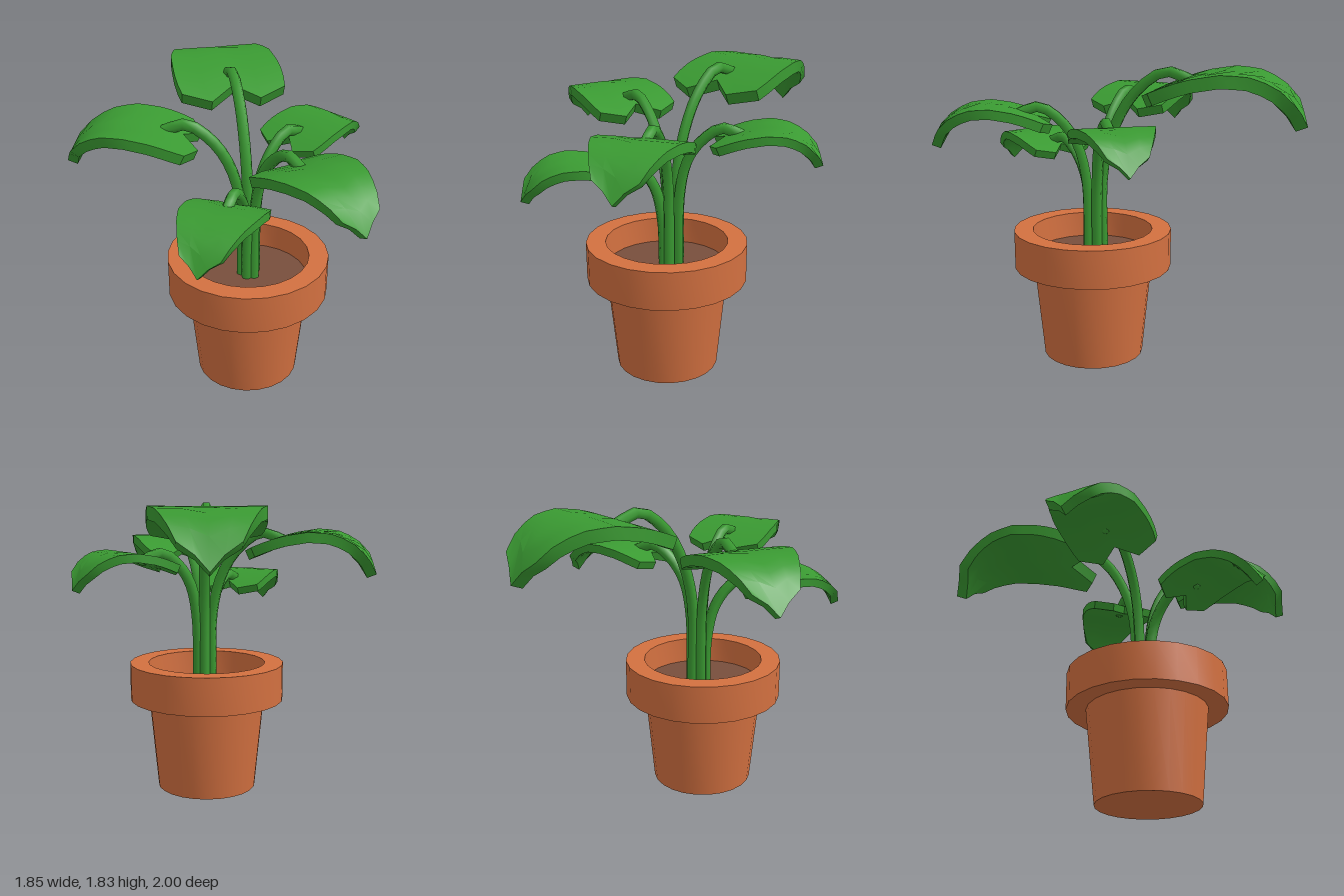
import * as THREE from 'three';
import { toCreasedNormals } from 'three/addons/utils/BufferGeometryUtils.js';

const mat = (name, color) => {
  const m = new THREE.MeshStandardMaterial({ color });
  m.name = name;
  return m;
};

// Piecewise linear lookup in a list of [position, value]
function lookup(table, u) {
  let i = 1;
  while (i < table.length - 1 && u > table[i][0]) i++;
  const [a, va] = table[i - 1], [b, vb] = table[i];
  return va + ((vb - va) * (u - a)) / (b - a);
}

// Leaf of unit length: half width and arch height along its length
const WIDTH = [[0, 0.32], [0.08, 0.34], [0.2, 0.36], [0.36, 0.355], [0.52, 0.34], [0.68, 0.29], [0.82, 0.235], [0.93, 0.175], [1, 0.14]];
const ARCH = [[0, -0.155], [0.12, -0.1], [0.3, -0.035], [0.5, 0], [0.66, -0.008], [0.8, -0.06], [0.9, -0.135], [0.95, -0.205], [1, -0.33]];

function leafGeometry() {
  const starts = [0.08, 0, 0.12, 0, 0.08]; // notched base
  const ends = [0.93, 0.965, 1, 0.965, 0.93]; // pointed tip
  const rows = 10, cols = 4, thick = 0.078, stride = cols + 1;
  const top = [], bottom = [], index = [];
  for (let i = 0; i <= rows; i++) {
    for (let j = 0; j <= cols; j++) {
      const u = THREE.MathUtils.lerp(starts[j], ends[j], i / rows);
      const x = (j / 2 - 1) * lookup(WIDTH, u), y = lookup(ARCH, u);
      const lo = Math.max(0, u - 0.04), hi = Math.min(1, u + 0.04);
      const slope = (lookup(ARCH, hi) - lookup(ARCH, lo)) / (hi - lo);
      const n = thick / Math.hypot(1, slope);
      top.push(x, y, u);
      bottom.push(x, y - n, u + n * slope);
    }
  }
  const count = (rows + 1) * stride;
  const quad = (a, b, c, d) => index.push(a, b, c, a, c, d);
  for (let i = 0; i < rows; i++) {
    for (let j = 0; j < cols; j++) {
      const a = i * stride + j, b = a + stride;
      quad(a, b, b + 1, a + 1);
      quad(a + count, a + 1 + count, b + 1 + count, b + count);
    }
  }
  // Rim wall around the outline
  const loop = [];
  for (let i = 0; i < rows; i++) loop.push(i * stride);
  for (let j = 0; j < cols; j++) loop.push(rows * stride + j);
  for (let i = rows; i > 0; i--) loop.push(i * stride + cols);
  for (let j = cols; j > 0; j--) loop.push(j);
  loop.forEach((p, k) => {
    const q = loop[(k + 1) % loop.length];
    quad(p, p + count, q + count, q);
  });
  const g = new THREE.BufferGeometry();
  g.setAttribute('position', new THREE.Float32BufferAttribute([...top, ...bottom], 3));
  g.setIndex(index);
  return toCreasedNormals(g, 0.6);
}

// Stem that rises from the soil and bends over into its leaf
function stemGeometry(top, k) {
  const peak = top - 0.018;
  const pts = [[0.06, -0.4], [0.1, -0.2], [0.185, -0.075], [0.3, 0], [0.425, -0.04]]
    .map(([s, dy]) => new THREE.Vector3(0, peak + dy * k, s * k));
  pts[0].z = 0.055;
  pts.unshift(new THREE.Vector3(0, 0.64, 0.045));
  return new THREE.TubeGeometry(new THREE.CatmullRomCurve3(pts), 18, 0.034, 6);
}

export function createModel() {
  const model = new THREE.Group();
  const clay = mat('terracotta', 0xd27040);
  const earth = mat('soil', 0x784e3c);
  const green = mat('leafGreen', 0x3a9a32);
  const add = (parent, name, geometry, material) => {
    const m = new THREE.Mesh(geometry, material);
    m.name = name;
    parent.add(m);
    return m;
  };

  // Pot with a thick rim
  const profile = [[0, 0], [0.315, 0], [0.37, 0.58], [0.49, 0.58], [0.49, 0.815], [0.372, 0.815], [0.365, 0.62]]
    .map(([x, y]) => new THREE.Vector2(x, y));
  const pot = add(model, 'pot', toCreasedNormals(new THREE.LatheGeometry(profile, 24), 0.6), clay);
  pot.position.set(0.1, 0, 0.128);

  const soil = add(model, 'soil', new THREE.CylinderGeometry(0.368, 0.36, 0.04, 24), earth);
  soil.position.set(0.1, 0.637, 0.128);

  // Five leaves: direction, highest point, length and start distance
  const leaf = leafGeometry();
  const shoots = [
    { name: 'frontShoot', dir: [0, 1], top: 1.372, length: 0.64, start: 0.252 },
    { name: 'frontLeftShoot', dir: [0.81, 0.585], top: 1.6, length: 0.715, start: 0.258 },
    { name: 'rightShoot', dir: [-0.965, 0.26], top: 1.658, length: 0.775, start: 0.286 },
    { name: 'backRightShoot', dir: [-0.515, -0.857], top: 1.815, length: 0.93, start: 0.33 },
    { name: 'backLeftShoot', dir: [0.485, -0.87], top: 1.54, length: 0.645, start: 0.242 },
  ];
  for (const s of shoots) {
    const shoot = new THREE.Group();
    shoot.name = s.name;
    shoot.position.set(0.1, 0, 0.1);
    shoot.rotation.y = Math.atan2(s.dir[0], s.dir[1]);
    const blade = add(shoot, 'leaf', leaf, green);
    blade.scale.setScalar(s.length);
    blade.position.set(0, s.top, s.start);
    const k = s.length / 0.64;
    add(shoot, 'stem', stemGeometry(s.top, k), green);
    // Closed stem end
    const tip = add(shoot, 'stemTip', new THREE.SphereGeometry(0.034, 6, 4), green);
    tip.position.set(0, s.top - 0.018 - 0.04 * k, 0.425 * k);
    model.add(shoot);
  }
  return model;
}
